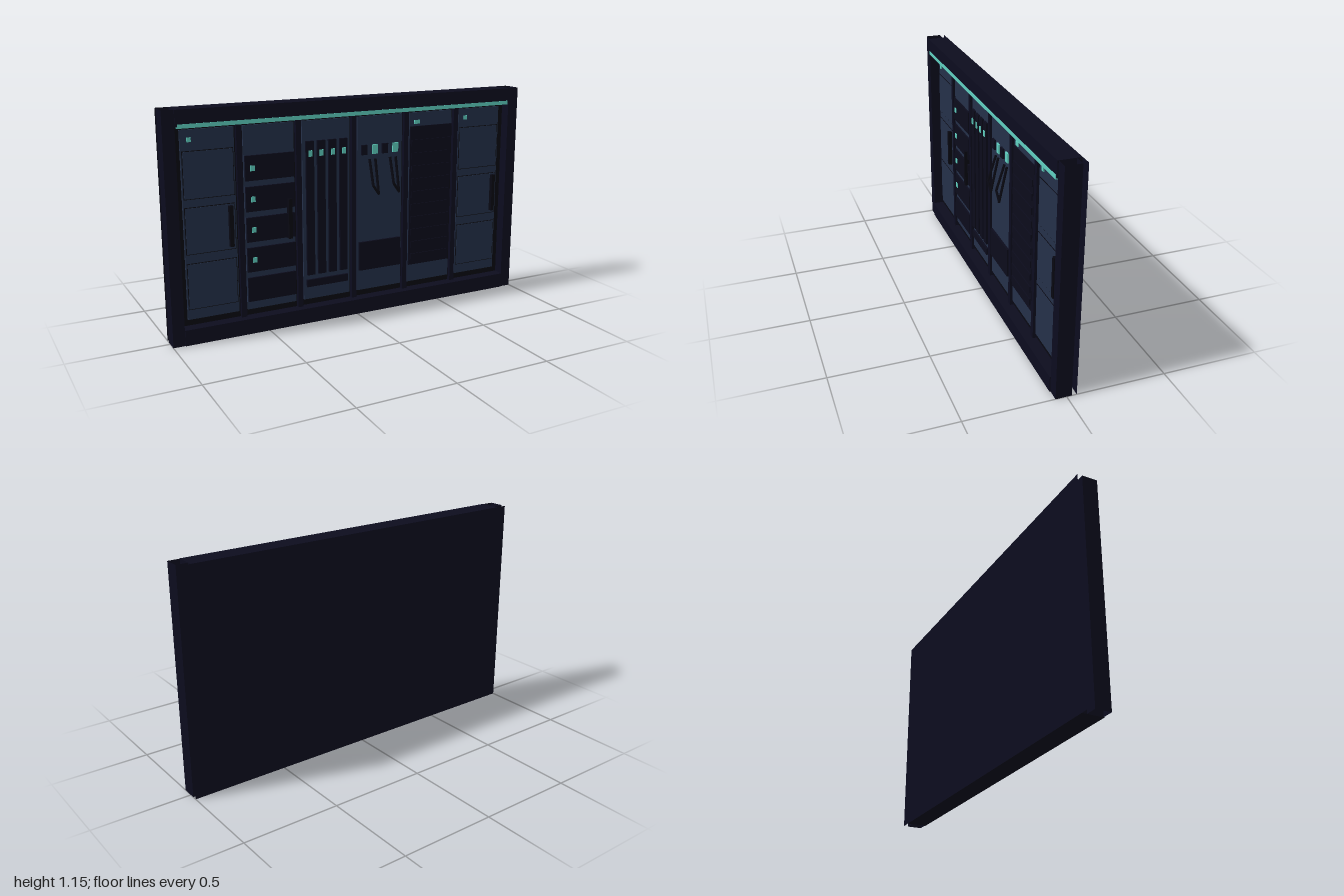
import * as THREE from 'three';

const mat = (name, color, side = THREE.FrontSide) => {
  const m = new THREE.MeshStandardMaterial({ color, side });
  m.name = name;
  return m;
};

export function createModel() {
  const root = new THREE.Group();
  root.name = 'equipmentWall';
  const hull = mat('hull navy', 0x0c0c1e, THREE.DoubleSide);
  const dark = mat('dark equipment', 0x0b0b1b);
  const black = mat('black trim', 0x080812);
  const door = mat('door blue', 0x243049);
  const teal = mat('teal light', 0x5fcfc0);

  const add = (parent, name, geometry, material) => {
    const mesh = new THREE.Mesh(geometry, material);
    mesh.name = name;
    parent.add(mesh);
    return mesh;
  };
  // Box given by its centre in x and y, its size, and its back and front z
  const box = (parent, name, material, x, y, w, h, z0, z1) => {
    const m = add(parent, name, new THREE.BoxGeometry(w, h, z1 - z0), material);
    m.position.set(x, y, (z0 + z1) / 2);
    return m;
  };
  // Straight rod between two points
  const rod = (parent, name, material, a, b, r) => {
    const d = b.clone().sub(a);
    const m = add(parent, name, new THREE.CylinderGeometry(r, r, d.length() + r, 6), material);
    m.position.copy(a).add(b).multiplyScalar(0.5);
    m.quaternion.setFromUnitVectors(new THREE.Vector3(0, 1, 0), d.normalize());
  };

  // Frame: back sheet, rails, inner wall and open-ended side posts
  add(root, 'backSheet', new THREE.PlaneGeometry(2, 1.15), hull).position.set(0, 0.575, -0.05);
  box(root, 'bottomRail', hull, 0, 0.04, 1.88, 0.08, -0.05, 0.06);
  box(root, 'topRail', hull, 0, 1.11, 1.88, 0.08, -0.05, 0.06);
  box(root, 'innerWall', black, 0, 0.575, 1.88, 0.99, -0.025, 0);
  for (const s of [-1, 1]) {
    const post = box(root, s < 0 ? 'rightPost' : 'leftPost', hull, s * 0.97, 0.575, 0.06, 1.15, -0.025, 0.055);
    const index = Array.from(post.geometry.index.array);
    index.splice(12, 12); // no top and bottom caps
    post.geometry.setIndex(index);
    post.geometry.clearGroups();
  }
  box(root, 'lightStrip', teal, 0, 1.072, 1.86, 0.02, 0.04, 0.062);

  // Dividers between the bays
  for (let i = -2; i <= 2; i++) box(root, 'divider', hull, i * 0.31, 0.575, 0.028, 0.99, 0, 0.02);

  // Six bays, each with a blue door face
  const bays = [];
  for (let i = 0; i < 6; i++) {
    const bay = new THREE.Group();
    bay.name = 'bay' + (i + 1);
    bay.position.x = -0.775 + i * 0.31;
    box(bay, 'doorFace', door, 0, 0.58, 0.265, 0.935, 0, 0.01);
    root.add(bay);
    bays.push(bay);
  }
  const [lockerA, servers, columns, hoses, vent, lockerB] = bays;
  const handle = (bay) => box(bay, 'handle', black, 0.1, 0.562, 0.02, 0.205, 0.01, 0.035);

  // Lockers: three outlined panels, a handle and a lamp
  for (const bay of [lockerA, lockerB]) {
    for (const y of [0.83, 0.558, 0.28]) {
      box(bay, 'panelOutline', black, 0, y, 0.254, 0.234, 0.01, 0.012);
      box(bay, 'lockerPanel', door, 0, y, 0.247, 0.227, 0.01, 0.014);
    }
    handle(bay);
    box(bay, 'lamp', teal, -0.09, 1, 0.02, 0.022, 0.01, 0.016);
  }

  // Stacked units, all but the lowest with a lamp
  for (let i = 0; i < 5; i++) {
    const y = 0.837 - i * 0.155;
    box(servers, 'rackUnit', dark, 0, y, 0.257, 0.125, 0.01, 0.02);
    if (i < 4) box(servers, 'unitLamp', teal, -0.092, y, 0.023, 0.027, 0.02, 0.024);
  }
  handle(servers);

  // Tall columns with lamps above a tray
  for (let i = 0; i < 4; i++) {
    const x = -0.094 + i * 0.0625;
    box(columns, 'column', dark, x, 0.595, 0.043, 0.7, 0.01, 0.022);
    box(columns, 'columnLamp', teal, x, 0.883, 0.02, 0.032, 0.022, 0.026);
  }
  box(columns, 'tray', dark, 0, 0.2, 0.235, 0.038, 0.01, 0.022);

  // Sockets, screens, hanging hoses and a lower box
  for (let i = 0; i < 2; i++) {
    const x = i * 0.122;
    box(hoses, 'socket', dark, -0.094 + x, 0.873, 0.034, 0.052, 0.01, 0.02);
    box(hoses, 'screen', teal, -0.031 + x, 0.873, 0.032, 0.05, 0.01, 0.018);
    const path = [[-0.063, 0.82, 0.016], [-0.063, 0.69, 0.057], [-0.029, 0.643, 0.054], [-0.029, 0.82, 0.016]]
      .map(([px, py, pz]) => new THREE.Vector3(px + x, py, pz));
    for (let k = 0; k < 3; k++) rod(hoses, 'hose', black, path[k], path[k + 1], 0.007);
  }
  box(hoses, 'lowerBox', dark, 0, 0.302, 0.248, 0.155, 0.01, 0.022);

  // Slatted vent with a lamp
  box(vent, 'ventPanel', dark, 0, 0.592, 0.257, 0.765, 0.01, 0.016);
  for (let i = 0; i < 10; i++) box(vent, 'slat', dark, 0, 0.255 + i * 0.07, 0.24, 0.035, 0.016, 0.022);
  box(vent, 'lamp', teal, -0.087, 0.997, 0.032, 0.02, 0.01, 0.016);

  return root;
}
